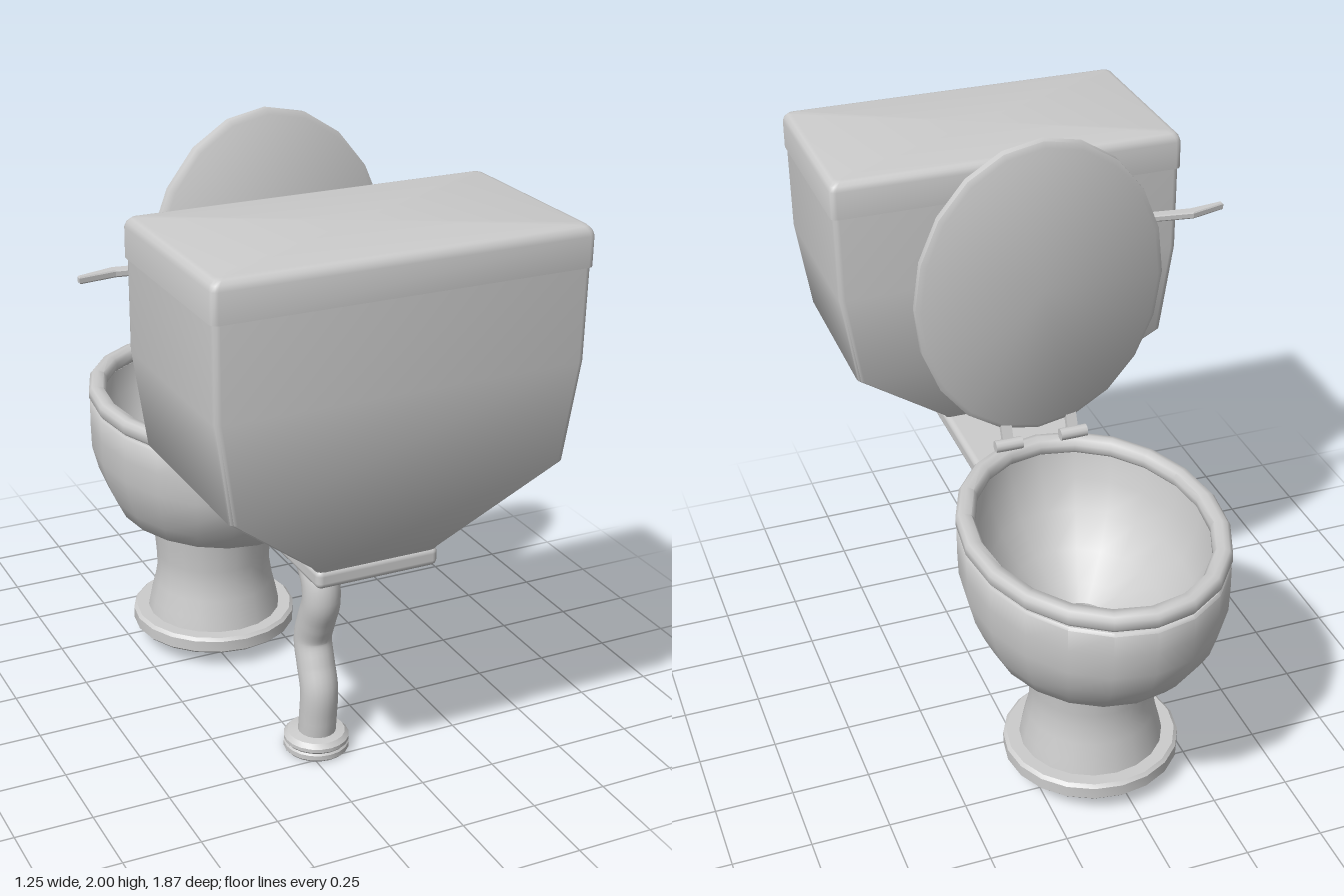
import * as THREE from 'three';
import { toCreasedNormals } from 'three/addons/utils/BufferGeometryUtils.js';
import { RoundedBoxGeometry } from 'three/addons/geometries/RoundedBoxGeometry.js';

const CX = 0.043; // shared centre line of tank, bowl and pipe
const BZ = -0.41; // centre of the bowl
const SIDES = 20;
const material = new THREE.MeshStandardMaterial({ color: 0xcccccc });

function part(name, geometry, x = 0, y = 0, z = 0) {
  const mesh = new THREE.Mesh(geometry, material);
  mesh.name = name;
  mesh.position.set(x, y, z);
  return mesh;
}

// Skin a stack of equal-length loops of [x, y, z]; loops run anticlockwise seen from above
function loft(loops, capped = true) {
  const n = loops[0].length;
  const positions = loops.flat(2);
  const index = [];
  for (let i = 0; i < loops.length - 1; i++) {
    for (let j = 0; j < n; j++) {
      const k = (j + 1) % n;
      const a = i * n + j, b = i * n + k, c = a + n, d = b + n;
      index.push(a, b, d, a, d, c);
    }
  }
  if (capped) {
    [0, loops.length - 1].forEach((row) => {
      const centre = positions.length / 3;
      for (let axis = 0; axis < 3; axis++) {
        positions.push(loops[row].reduce((sum, p) => sum + p[axis], 0) / n);
      }
      for (let j = 0; j < n; j++) {
        const a = row * n + j, b = row * n + (j + 1) % n;
        if (row === 0) index.push(centre, b, a);
        else index.push(centre, a, b);
      }
    });
  }
  const geometry = new THREE.BufferGeometry();
  geometry.setAttribute('position', new THREE.Float32BufferAttribute(positions, 3));
  geometry.setIndex(index);
  return toCreasedNormals(geometry, 0.8);
}

function oval([y, rx, rz, z = 0]) {
  return Array.from({ length: SIDES }, (_, i) => {
    const a = (i / SIDES) * Math.PI * 2;
    return [rx * Math.sin(a), y, z + rz * Math.cos(a)];
  });
}

// Rectangle with rounded corners, from half width and z range
function roundedRect([y, hx, z0, z1]) {
  const points = [];
  const r = 0.02, hz = (z1 - z0) / 2, zc = (z0 + z1) / 2;
  [[1, 1], [1, -1], [-1, -1], [-1, 1]].forEach(([sx, sz], corner) => {
    for (let i = 0; i <= 3; i++) {
      const a = (corner + i / 3) * Math.PI / 2;
      points.push([sx * (hx - r) + r * Math.sin(a), y, zc + sz * (hz - r) + r * Math.cos(a)]);
    }
  });
  return points;
}

function turned(profile, sides = SIDES) {
  const points = profile.map(([r, y]) => new THREE.Vector2(r, y));
  return toCreasedNormals(new THREE.LatheGeometry(points, sides), 0.6);
}

function createTank() {
  const tank = new THREE.Group();
  tank.name = 'tank';
  tank.add(part('tankBody', loft([
    [0.845, 0.195, 0.445, 0.8],
    [0.855, 0.2, 0.44, 0.805],
    [1.12, 0.523, 0.318, 0.932],
    [1.42, 0.569, 0.315, 0.935],
    [1.71, 0.571, 0.315, 0.935],
  ].map(roundedRect)), CX));
  tank.add(part('tankLid', loft([
    [1.7, 0.577, 0.309, 0.939],
    [1.79, 0.577, 0.309, 0.939],
    [1.806, 0.572, 0.314, 0.934],
    [1.817, 0.562, 0.324, 0.924],
    [1.82, 0.55, 0.336, 0.912],
  ].map(roundedRect)), CX));
  tank.add(part('tankShelf', new RoundedBoxGeometry(0.395, 0.062, 0.75, 3, 0.02), CX, 0.821, 0.43));
  return tank;
}

function createBowl() {
  const bowl = new THREE.Group();
  bowl.name = 'bowl';
  bowl.position.set(CX, 0, BZ);
  // Outside wall going up, then inside wall down to the drain
  bowl.add(part('basin', loft([
    [0.455, 0.2, 0.2],
    [0.51, 0.322, 0.378],
    [0.57, 0.352, 0.434],
    [0.64, 0.38, 0.485],
    [0.72, 0.4, 0.516],
    [0.8, 0.402, 0.522],
    [0.875, 0.402, 0.522],
    [0.883, 0.395, 0.514],
    [0.883, 0.36, 0.475],
    [0.8, 0.345, 0.455],
    [0.7, 0.305, 0.4, 0.01],
    [0.6, 0.23, 0.3, 0.03],
    [0.53, 0.15, 0.18, 0.065],
    [0.49, 0.085, 0.085, 0.095],
    [0.4, 0.075, 0.075, 0.1],
  ].map(oval))));
  bowl.add(part('seatRing', loft([
    [0.888, 0.355, 0.468],
    [0.888, 0.395, 0.514],
    [0.9, 0.404, 0.523],
    [0.926, 0.404, 0.523],
    [0.938, 0.394, 0.513],
    [0.941, 0.378, 0.495],
    [0.936, 0.355, 0.47],
    [0.92, 0.345, 0.458],
    [0.9, 0.345, 0.458],
    [0.888, 0.355, 0.468],
  ].map(oval), false)));
  bowl.add(part('pedestal', turned([
    [0.232, 0.11], [0.222, 0.16], [0.207, 0.22], [0.197, 0.28],
    [0.199, 0.33], [0.204, 0.39], [0.212, 0.46],
  ])));
  bowl.add(part('basePlate', turned([
    [0, 0.052], [0.06, 0.057], [0.275, 0.06], [0.283, 0.068],
    [0.283, 0.106], [0.272, 0.116], [0, 0.116],
  ])));
  return bowl;
}

// Raised cover, leaning slightly towards the bowl, with two hinges
function createCover() {
  const cover = new THREE.Group();
  cover.name = 'cover';
  const disc = part('coverDisc', loft([
    [-0.022, 0.385, 0.492],
    [-0.012, 0.402, 0.51],
    [0.012, 0.402, 0.51],
    [0.022, 0.385, 0.492],
  ].map(oval)), CX, 1.49, 0.054);
  disc.rotation.x = Math.PI / 2 - 0.073;
  cover.add(disc);
  for (const side of [-1, 1]) {
    const x = CX + side * 0.11;
    const pin = part('hingePin', new THREE.CylinderGeometry(0.02, 0.02, 0.09, 12), x, 0.955, 0.05);
    pin.rotation.z = Math.PI / 2;
    const bracket = part('hingeBracket', new THREE.BoxGeometry(0.035, 0.07, 0.02), x, 0.985, 0.068);
    bracket.rotation.x = 0.4;
    cover.add(pin, bracket);
  }
  return cover;
}

function createHandle() {
  const handle = new THREE.Group();
  handle.name = 'flushHandle';
  handle.position.set(-0.347, 1.605, 0);
  const stem = part('handleStem', turned([
    [0, 0.163], [0.027, 0.163], [0.033, 0.169], [0.033, 0.212],
    [0.018, 0.232], [0.018, 0.32],
  ], 12));
  stem.rotation.x = Math.PI / 2;
  // Flat lever with a slight bend, thinning to its tip
  const outline = [[0, 0.18], [-0.165, 0.155], [-0.278, 0.187], [-0.278, 0.2], [-0.165, 0.185], [0, 0.208]];
  const lever = new THREE.Shape(outline.map(([x, z]) => new THREE.Vector2(x, z)));
  const arm = part('handleLever', new THREE.ExtrudeGeometry(lever, {
    depth: 0.014, bevelSize: 0.003, bevelThickness: 0.004, bevelSegments: 1,
  }), 0, 0.007, 0);
  arm.rotation.x = Math.PI / 2;
  handle.add(stem, arm);
  return handle;
}

function createPipe() {
  const pipe = new THREE.Group();
  pipe.name = 'wastePipe';
  pipe.position.x = CX;
  // Centre line as [y, z], from the floor up and into the bowl
  const path = new THREE.CatmullRomCurve3([
    [0.03, 0.417], [0.12, 0.427], [0.22, 0.432], [0.3, 0.405], [0.38, 0.382], [0.46, 0.408],
    [0.54, 0.437], [0.61, 0.425], [0.67, 0.365], [0.695, 0.28], [0.702, 0.18], [0.702, 0.05],
  ].map(([y, z]) => new THREE.Vector3(0, y, z)));
  pipe.add(part('pipeBend', new THREE.TubeGeometry(path, 60, 0.061, SIDES)));
  pipe.add(part('floorFlange', turned([
    [0, 0], [0.1, 0], [0.105, 0.006], [0.105, 0.022], [0.1, 0.028],
    [0.105, 0.034], [0.105, 0.046], [0.092, 0.06], [0.058, 0.066],
  ]), 0, 0, 0.417));
  return pipe;
}

export function createModel() {
  const model = new THREE.Group();
  model.name = 'toilet';
  model.add(createTank(), createBowl(), createCover(), createHandle(), createPipe());
  return model;
}
